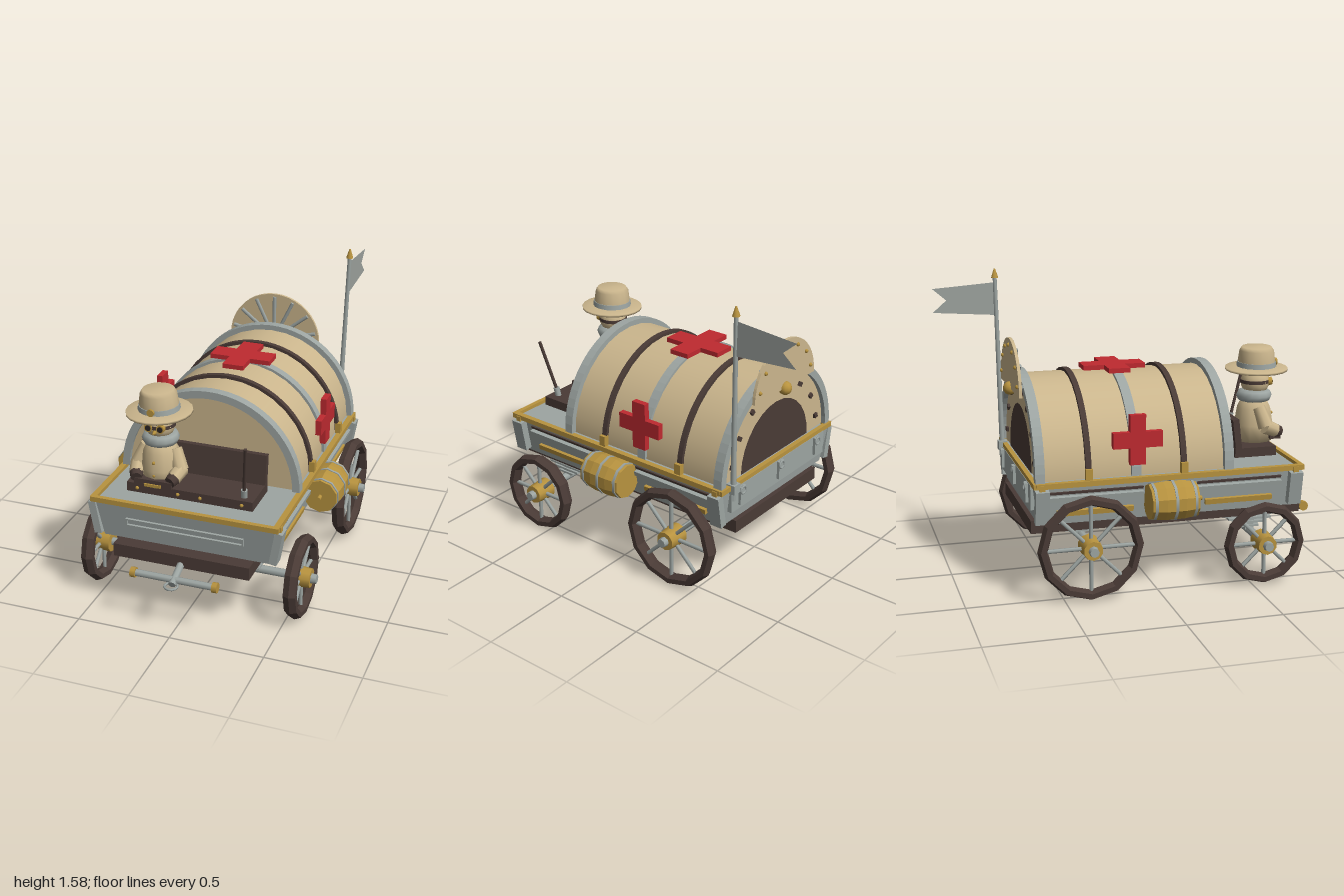
import * as THREE from 'three';

const mat = (name, color) => {
  const m = new THREE.MeshStandardMaterial({ color });
  m.name = name;
  return m;
};

export function createModel() {
  const root = new THREE.Group();
  root.name = 'wagon';
  const tan = mat('canvas tan', 0xcbb68d), gold = mat('brass', 0xb8933f), brown = mat('dark brown', 0x4a3b36);
  const gray = mat('steel gray', 0x9da5a2), red = mat('red', 0xbf2a30), dark = mat('dark shadow brown', 0x2b2422);
  const flagGray = mat('flag gray', 0x9da39e);
  flagGray.side = THREE.DoubleSide;

  // Helpers
  const group = (name, x = 0, y = 0, z = 0, parent = root) => {
    const g = new THREE.Group();
    g.name = name;
    g.position.set(x, y, z);
    parent.add(g);
    return g;
  };
  const add = (name, geo, m, x = 0, y = 0, z = 0, parent = root) => {
    const mesh = new THREE.Mesh(geo, m);
    mesh.name = name;
    mesh.position.set(x, y, z);
    parent.add(mesh);
    return mesh;
  };
  const box = (name, m, w, h, d, x, y, z, parent) => add(name, new THREE.BoxGeometry(w, h, d), m, x, y, z, parent);
  const cyl = (r1, r2, h, n = 10) => new THREE.CylinderGeometry(r1, r2, h, n);
  const flat = (geo) => {
    const g = geo.index ? geo.toNonIndexed() : geo;
    g.computeVertexNormals();
    return g;
  };
  const rod = (name, m, a, b, r1, r2 = r1, parent = root, n = 8) => {
    const p = new THREE.Vector3(...a), d = new THREE.Vector3(...b).sub(p);
    const mesh = add(name, cyl(r2, r1, d.length(), n), m, 0, 0, 0, parent);
    mesh.position.copy(p).addScaledVector(d, 0.5);
    mesh.quaternion.setFromUnitVectors(new THREE.Vector3(0, 1, 0), d.normalize());
    return mesh;
  };
  const lathe = (pts, n = 16) => new THREE.LatheGeometry(pts.map((p) => new THREE.Vector2(...p)), n);

  // Chassis and flared tub
  box('chassis', brown, 0.73, 0.07, 1.47, 0, 0.355, 0.1);
  const tubGeo = new THREE.BoxGeometry(0.96, 0.21, 1.42), tp = tubGeo.attributes.position;
  for (let i = 0; i < tp.count; i++) {
    if (tp.getY(i) < 0) tp.setXYZ(i, tp.getX(i) * 0.93, tp.getY(i), tp.getZ(i) * 0.965);
  }
  add('tub', flat(tubGeo), gray, 0, 0.495, 0.075);
  for (const s of [1, -1]) {
    box('sideRim', gold, 0.03, 0.027, 1.43, s * 0.487, 0.605, 0.085);
    box('endRim', gold, 1.0, 0.027, 0.025, 0, 0.605, s > 0 ? 0.79 : -0.63);
    for (const z of [0.755, -0.6]) {
      const post = box('cornerPost', gray, 0.04, 0.18, 0.07, s * 0.485, 0.495, z);
      post.rotation.z = -s * 0.17;
      box('cornerBracket', gold, 0.03, 0.05, 0.03, s * 0.492, 0.585, z);
    }
    const slope = -s * 0.16;
    for (const [z, l] of [[0.45, 0.46], [-0.32, 0.5]]) {
      box('upperRail', gray, 0.025, 0.025, l, s * 0.48, 0.53, z).rotation.z = slope;
      box('sideGroove', brown, 0.012, 0.012, l, s * 0.477, 0.56, z).rotation.z = slope;
      box('lowerRail', gold, 0.02, 0.028, l * 0.8, s * 0.464, 0.45, z).rotation.z = slope;
    }
  }
  const panel = group('frontPanel', 0, 0.495, 0.777);
  panel.rotation.x = 0.12;
  for (const s of [1, -1]) {
    box('panelTrim', gray, 0.63, 0.008, 0.015, 0, s * 0.018, 0, panel);
    box('panelEnd', gray, 0.008, 0.042, 0.015, s * 0.312, 0, 0, panel);
  }
  // Tailgate with latches
  box('tailgate', gray, 0.84, 0.13, 0.03, 0, 0.53, -0.63);
  for (const x of [-0.34, 0, 0.34]) {
    box('latch', gray, 0.045, 0.1, 0.02, x, 0.54, -0.65);
    add('latchRing', new THREE.TorusGeometry(0.02, 0.006, 6, 10), gray, x, 0.57, -0.66);
  }

  // Canvas cover: half drum with end walls
  const cover = group('cover', 0, 0.62, 0);
  const drum = new THREE.CylinderGeometry(0.462, 0.462, 1.0, 16, 1, false, Math.PI / 2, Math.PI);
  drum.rotateX(Math.PI / 2);
  add('canvas', drum, tan, 0, 0, -0.108, cover);
  const hoop = (name, m, inner, outer, w, z) => {
    const s = new THREE.Shape();
    s.absarc(0, 0, outer, 0, Math.PI, false);
    s.absarc(0, 0, inner, Math.PI, 0, true);
    add(name, new THREE.ExtrudeGeometry(s, { depth: w, bevelEnabled: false, curveSegments: 16 }), m, 0, 0, z - w / 2, cover);
  };
  hoop('frontHoop', gray, 0.45, 0.49, 0.05, 0.39);
  hoop('rearHoop', gray, 0.45, 0.49, 0.05, -0.607);
  hoop('middleHoop', gray, 0.45, 0.475, 0.05, -0.105);
  for (const z of [0.148, -0.355]) {
    hoop('strapHoop', brown, 0.45, 0.478, 0.03, z);
    for (const s of [1, -1]) box('hoopFoot', gold, 0.03, 0.06, 0.036, s * 0.478, 0.025, z, cover);
  }
  // Rear doorway and studs
  add('rearOpening', new THREE.CircleGeometry(0.3, 14, 0, Math.PI), brown, 0, 0, -0.613, cover).rotation.y = Math.PI;
  for (let i = 0; i < 8; i++) {
    const a = (i + 0.5) * Math.PI / 8;
    box('wallStud', brown, 0.024, 0.024, 0.02, Math.cos(a) * 0.385, Math.sin(a) * 0.385, -0.612, cover).rotation.z = a;
  }

  // Red crosses on roof and sides
  const cross = (name, size, arm, t, x, y, z) => {
    const a = arm / 2, b = size / 2;
    const s = new THREE.Shape([[a, a], [a, b], [-a, b], [-a, a], [-b, a], [-b, -a], [-a, -a], [-a, -b], [a, -b], [a, -a], [b, -a], [b, a]]
      .map((p) => new THREE.Vector2(...p)));
    const g = new THREE.ExtrudeGeometry(s, { depth: t, bevelEnabled: false });
    g.translate(0, 0, -t / 2);
    return add(name, g, red, x, y, z);
  };
  cross('roofCross', 0.335, 0.115, 0.025, 0, 1.105, -0.11).rotation.x = -Math.PI / 2;
  for (const s of [1, -1]) cross('sideCross', 0.26, 0.083, 0.032, s * 0.47, 0.81, -0.1).rotation.y = Math.PI / 2;

  // Fan-shaped rear crest
  const crest = group('rearCrest', 0, 1.01, -0.655);
  const fan = new THREE.Shape();
  fan.absarc(0, 0, 0.265, 0, Math.PI, false);
  add('fan', new THREE.ExtrudeGeometry(fan, { depth: 0.016, bevelEnabled: false, curveSegments: 10 }), tan, 0, 0, -0.008, crest);
  for (let i = 0; i < 7; i++) {
    const a = (i + 0.5) * Math.PI / 7, c = Math.cos(a), s = Math.sin(a);
    rod('fanRib', gray, [c * 0.03, s * 0.03, 0.01], [c * 0.25, s * 0.25, 0.01], 0.011, 0.011, crest, 6);
    add('fanStud', new THREE.SphereGeometry(0.011, 6, 5), gold, c * 0.23, s * 0.23, -0.01, crest);
  }
  add('boss', new THREE.SphereGeometry(0.036, 10, 8), gold, 0, 0, -0.008, crest);

  // Flag on its pole
  rod('flagPole', gray, [0.4, 0.53, -0.64], [0.427, 1.54, -0.657], 0.015, 0.011);
  rod('poleFinial', gold, [0.427, 1.535, -0.657], [0.428, 1.585, -0.657], 0.02, 0.004);
  box('poleBracket', gray, 0.05, 0.05, 0.05, 0.4, 0.6, -0.64);
  const flag = new THREE.Shape([[0.66, 1.51], [1, 1.485], [0.925, 1.42], [1, 1.355], [0.66, 1.33]].map((p) => new THREE.Vector2(...p)));
  add('flag', new THREE.ShapeGeometry(flag), flagGray, 0.427).rotation.y = Math.PI / 2;

  // Wheels and axles
  const wheel = (name, s, R, y, z) => {
    const g = group(name, s * 0.553, y, z);
    g.rotation.y = s * Math.PI / 2;
    const tire = new THREE.TorusGeometry(R - 0.026, 0.027, 6, 12);
    tire.scale(1, 1, 1.4);
    add('tire', flat(tire), brown, 0, 0, 0, g);
    for (let i = 0; i < 8; i++) {
      const a = i * Math.PI / 4, c = Math.cos(a), d = Math.sin(a);
      rod('spoke', gray, [c * 0.03, d * 0.03, 0], [c * (R - 0.04), d * (R - 0.04), 0], 0.011, 0.011, g, 6);
    }
    add('hub', cyl(0.05, 0.058, 0.11, 10), gold, 0, 0, 0, g).rotation.x = Math.PI / 2;
    add('hubCap', cyl(0.024, 0.028, 0.04, 8), gray, 0, 0, 0.064, g).rotation.x = Math.PI / 2;
  };
  for (const [end, R, y, z] of [['front', 0.22, 0.228, 0.565], ['rear', 0.276, 0.284, -0.365]]) {
    rod(end + 'Axle', gray, [-0.52, y, z], [0.52, y, z], 0.022);
    for (const s of [1, -1]) {
      wheel(end + 'Wheel', s, R, y, z);
      // Stacked leaf springs
      for (let i = 0; i < 4; i++) box('leafSpring', gray, 0.055, 0.011, 0.1 + i * 0.07, s * 0.315, y + 0.025 + i * (0.3 - y + 0.01) / 4, z);
      box('springBlock', gray, 0.035, 0.33 - y, 0.05, s * 0.315, (y + 0.33) / 2, z);
    }
  }

  // Hitch
  rod('hitchPole', gray, [0, 0.345, 0.8], [0, 0.288, 0.95], 0.02);
  rod('hitchBar', gray, [-0.21, 0.3, 0.92], [0.21, 0.3, 0.92], 0.018);
  for (const s of [1, -1]) rod('hitchEnd', gold, [s * 0.205, 0.3, 0.92], [s * 0.232, 0.3, 0.92], 0.027);
  add('hitchRing', new THREE.TorusGeometry(0.033, 0.007, 6, 12), gray, 0, 0.285, 0.96).rotation.x = Math.PI / 2;

  // Side barrels with bands and taps
  for (const s of [1, -1]) {
    const b = group('barrel', s * 0.535, 0.495, 0.065);
    b.rotation.x = Math.PI / 2;
    add('staves', flat(lathe([[0, -0.125], [0.092, -0.125], [0.103, -0.05], [0.103, 0.05], [0.092, 0.125], [0, 0.125]], 10)), gold, 0, 0, 0, b);
    for (const y of [-0.105, 0, 0.105]) add('band', cyl(y ? 0.098 : 0.107, y ? 0.098 : 0.107, 0.014, 10), gray, 0, y, 0, b);
    rod('tap', gold, [0, 0.12, 0], [0, 0.16, 0], 0.012, 0.012, b);
  }

  // Bench
  box('benchSeat', brown, 0.675, 0.05, 0.23, 0, 0.66, 0.59);
  box('benchBack', brown, 0.675, 0.17, 0.035, 0, 0.757, 0.487).rotation.x = -0.12;
  for (const x of [-0.28, -0.06, 0.06, 0.28]) add('benchStud', new THREE.SphereGeometry(0.01, 6, 5), gold, x, 0.66, 0.706);
  // Brake lever
  rod('leverBase', gray, [0.278, 0.68, 0.66], [0.282, 0.73, 0.67], 0.017);
  rod('lever', brown, [0.28, 0.72, 0.67], [0.315, 0.995, 0.75], 0.009);

  // Driver
  const d = group('driver', -0.173, 0, 0.635);
  add('torso', lathe([[0, 0.69], [0.1, 0.69], [0.105, 0.78], [0.09, 0.87], [0.06, 0.93], [0, 0.93]], 12), tan, 0, 0, 0, d);
  add('collar', new THREE.TorusGeometry(0.062, 0.034, 8, 14), gray, 0, 0.935, 0, d).rotation.x = Math.PI / 2;
  add('head', new THREE.SphereGeometry(0.078, 14, 10), tan, 0, 1.01, 0.005, d);
  add('beak', new THREE.ConeGeometry(0.017, 0.035, 6), gold, 0, 0.99, 0.088, d).rotation.x = Math.PI / 2;
  for (const y of [0.76, 0.83]) add('button', new THREE.SphereGeometry(0.009, 6, 5), gold, 0, y, 0.1, d);
  box('lapBar', brown, 0.2, 0.035, 0.06, 0, 0.725, 0.09, d);
  box('lapBuckle', gold, 0.09, 0.015, 0.01, 0, 0.715, 0.122, d);
  for (const s of [1, -1]) {
    rod('upperArm', tan, [s * 0.075, 0.88, 0], [s * 0.115, 0.78, 0.03], 0.036, 0.042, d);
    rod('forearm', tan, [s * 0.115, 0.785, 0.02], [s * 0.1, 0.755, 0.09], 0.042, 0.036, d);
    rod('glove', brown, [s * 0.1, 0.755, 0.088], [s * 0.09, 0.745, 0.115], 0.037, 0.03, d);
    add('goggle', cyl(0.022, 0.022, 0.025, 10), gold, s * 0.032, 1.012, 0.073, d).rotation.x = Math.PI / 2;
    add('lens', cyl(0.015, 0.015, 0.006, 10), dark, s * 0.032, 1.012, 0.086, d).rotation.x = Math.PI / 2;
  }
  add('goggleStrap', cyl(0.08, 0.08, 0.018, 14), brown, 0, 1.012, 0.003, d);
  // Wide-brimmed hat
  const hat = group('hat', 0, 1.08, 0.01, d);
  hat.rotation.z = 0.03;
  add('brim', lathe([[0, -0.012], [0.1, -0.012], [0.168, -0.006], [0.168, 0.006], [0.1, 0.014], [0, 0.014]], 20), tan, 0, 0, 0, hat);
  add('crown', lathe([[0.1, 0], [0.1, 0.04], [0.092, 0.1], [0.08, 0.118], [0, 0.12]], 16), tan, 0, 0, 0, hat);
  add('hatBand', cyl(0.104, 0.107, 0.026, 16), gray, 0, 0.026, 0, hat);
  add('hatBadge', cyl(0.019, 0.019, 0.012, 10), gold, 0, 0.032, 0.108, hat).rotation.x = Math.PI / 2;

  return root;
}
